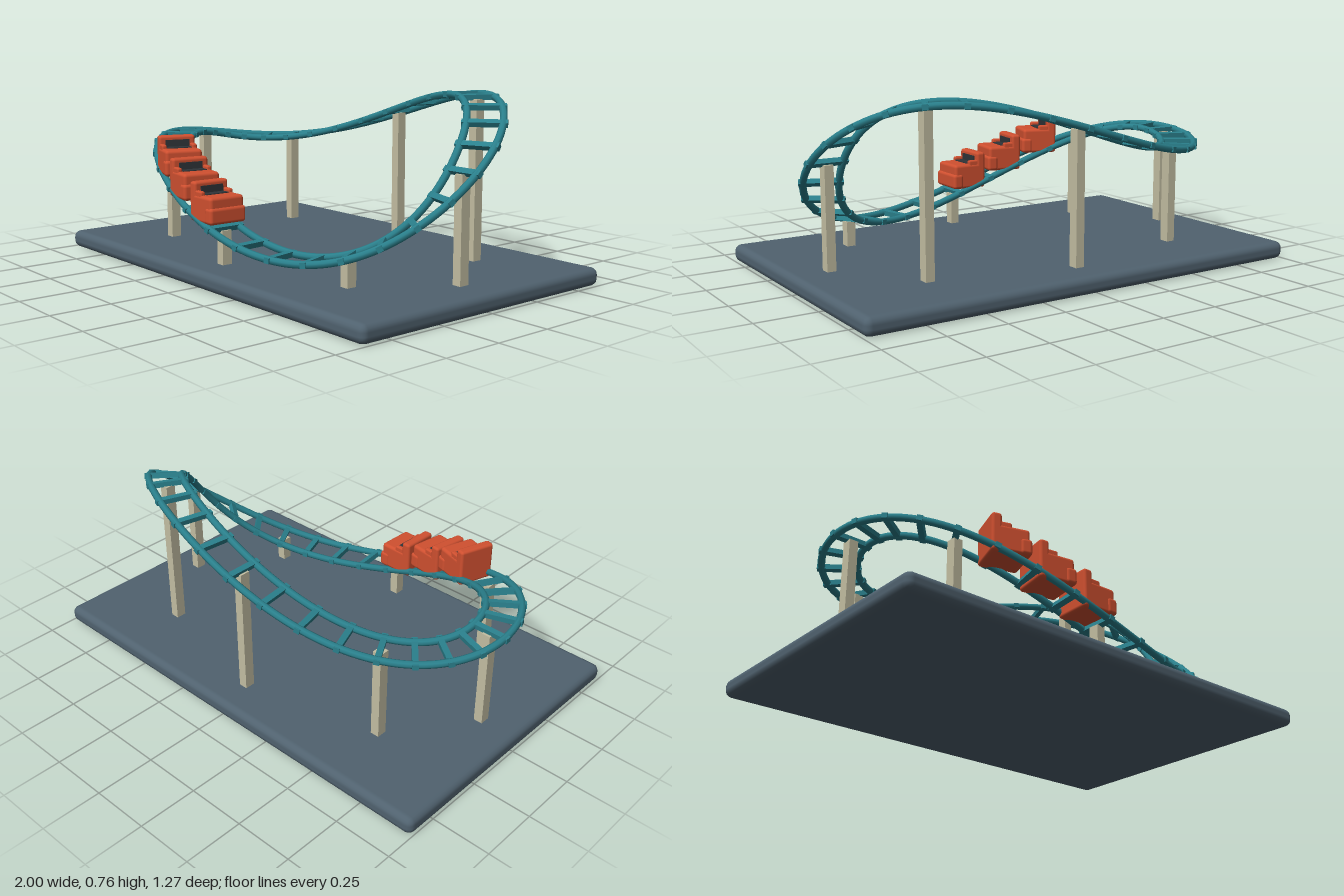
import * as THREE from 'three';
import { RoundedBoxGeometry } from 'three/addons/geometries/RoundedBoxGeometry.js';

const mat = (name, color) => {
  const m = new THREE.MeshStandardMaterial({ color });
  m.name = name;
  return m;
};

// Centre line of the circuit: an ellipse in plan with a rising and falling height
function trackPoint(t) {
  const y = 0.465 - 0.205 * Math.sin(t) - 0.132 * Math.sin(2 * t) + 0.037 * Math.cos(2 * t);
  return new THREE.Vector3(0.84 * Math.cos(t), y, 0.48 * Math.sin(t));
}
function tangentAt(t) {
  return trackPoint(t + 0.001).sub(trackPoint(t - 0.001)).normalize();
}
// Level vector pointing out of the circuit
function outwardAt(t) {
  const d = tangentAt(t);
  return new THREE.Vector3(d.z, 0, -d.x).normalize();
}

class RailCurve extends THREE.Curve {
  constructor(offset) {
    super();
    this.offset = offset;
  }
  getPoint(u, target = new THREE.Vector3()) {
    const t = u * Math.PI * 2;
    return target.copy(trackPoint(t)).addScaledVector(outwardAt(t), this.offset);
  }
}

export function createModel() {
  const model = new THREE.Group();
  model.name = 'rollerCoaster';
  const slate = mat('slate base', 0x50626f);
  const teal = mat('teal track', 0x2a808c);
  const tan = mat('tan support', 0xc3bea2);
  const orange = mat('orange car', 0xd05030);
  const dark = mat('dark seat', 0x2f3438);

  const add = (parent, name, geometry, material, x = 0, y = 0, z = 0) => {
    const mesh = new THREE.Mesh(geometry, material);
    mesh.name = name;
    mesh.position.set(x, y, z);
    parent.add(mesh);
    return mesh;
  };
  const rounded = (w, h, d, r) => new RoundedBoxGeometry(w, h, d, 2, r);

  // Ground slab
  add(model, 'base', rounded(2, 0.075, 1.27, 0.03), slate, 0, 0.0375, 0);

  // Two rails
  for (const [name, offset] of [['innerRail', -0.07], ['outerRail', 0.07]]) {
    add(model, name, new THREE.TubeGeometry(new RailCurve(offset), 160, 0.015, 8, true), teal);
  }

  // Cross ties, following the slope of the track
  const tieGeometry = new THREE.BoxGeometry(0.176, 0.022, 0.024);
  for (let i = 0; i < 32; i++) {
    const t = (i / 32) * Math.PI * 2;
    const out = outwardAt(t);
    const along = tangentAt(t);
    const up = new THREE.Vector3().crossVectors(along, out);
    const tie = add(model, 'tie', tieGeometry, teal);
    tie.quaternion.setFromRotationMatrix(new THREE.Matrix4().makeBasis(out, up, along));
    tie.position.copy(trackPoint(t));
  }

  // Support posts from the slab up to the ties
  for (let i = 0; i < 8; i++) {
    const p = trackPoint((i / 8) * Math.PI * 2);
    const height = p.y - 0.008 - 0.06;
    add(model, 'support', new THREE.BoxGeometry(0.038, height, 0.044), tan, p.x, 0.06 + height / 2, p.z);
  }

  // One car, facing its own +x and standing on y = 0
  function createCar() {
    const car = new THREE.Group();
    car.name = 'car';
    add(car, 'body', rounded(0.155, 0.112, 0.16, 0.014), orange, -0.004, 0.056, 0);
    add(car, 'nose', rounded(0.05, 0.068, 0.17, 0.014), orange, 0.057, 0.036, 0);
    add(car, 'backrest', rounded(0.042, 0.162, 0.16, 0.012), orange, -0.062, 0.081, 0);
    add(car, 'seatWell', new THREE.BoxGeometry(0.045, 0.008, 0.105), dark, -0.019, 0.111, 0);
    add(car, 'backPad', new THREE.BoxGeometry(0.006, 0.034, 0.105), dark, -0.04, 0.127, 0);
    for (const side of [-1, 1]) {
      add(car, 'armrest', rounded(0.05, 0.03, 0.022, 0.008), orange, -0.025, 0.113, side * 0.066);
    }
    return car;
  }

  // Train of three cars running downhill
  for (const degrees of [93.2, 106.3, 119.6]) {
    const t = THREE.MathUtils.degToRad(degrees);
    const forward = tangentAt(t).negate();
    const car = createCar();
    car.position.copy(trackPoint(t));
    car.position.y += 0.004;
    car.rotation.y = Math.atan2(-forward.z, forward.x);
    model.add(car);
  }
  return model;
}
